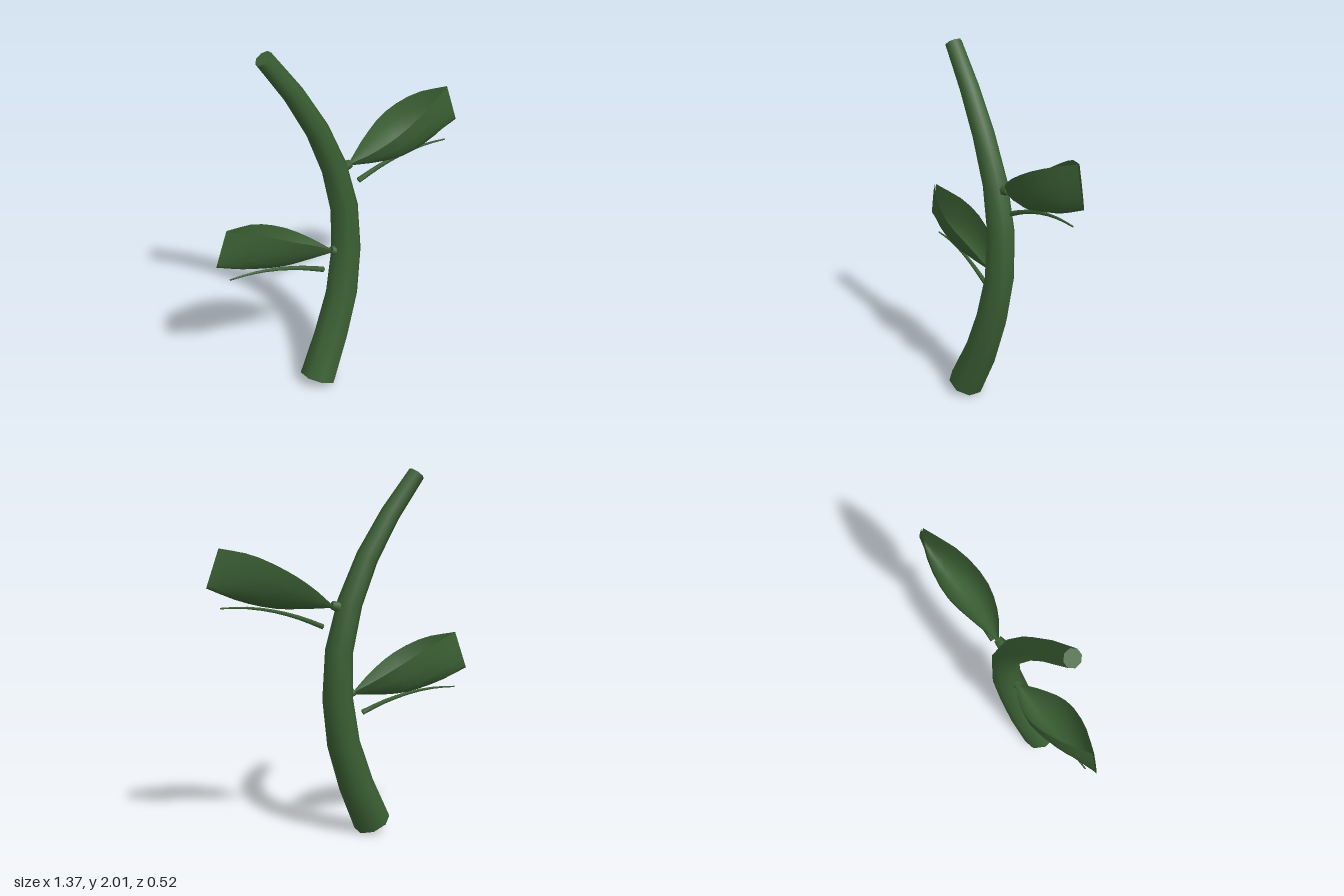
import * as THREE from 'three';

const green = new THREE.MeshStandardMaterial({ color: 0x3a5f33 });
green.name = 'leaf green';
const greenSheet = green.clone();
greenSheet.side = THREE.DoubleSide;

const V = (p) => new THREE.Vector3(...p);

function mesh(geometry, name, material = green) {
  const m = new THREE.Mesh(geometry, material);
  m.name = name;
  return m;
}

// Smooth grid surface from rows of points; wrap joins each row into a ring
function loft(rows, wrap) {
  const n = rows[0].length;
  const index = [];
  for (let i = 0; i < rows.length - 1; i++) {
    for (let j = 0; j < (wrap ? n : n - 1); j++) {
      const a = i * n + j, b = i * n + (j + 1) % n;
      index.push(a, b, a + n, b, b + n, a + n);
    }
  }
  const g = new THREE.BufferGeometry().setFromPoints(rows.flat());
  g.setIndex(index);
  g.computeVertexNormals();
  return g;
}

// Tapered tube along a curve, with rings square to the path
function taperedTube(points, r0, r1, steps, sides, name) {
  const group = new THREE.Group();
  group.name = name;
  const curve = new THREE.CatmullRomCurve3(points.map(V));
  const frames = curve.computeFrenetFrames(steps, false);
  const rows = [];
  for (let i = 0; i <= steps; i++) {
    const t = i / steps, r = THREE.MathUtils.lerp(r0, r1, t), c = curve.getPointAt(t), row = [];
    for (let j = 0; j < sides; j++) {
      const a = j / sides * Math.PI * 2;
      row.push(c.clone()
        .addScaledVector(frames.normals[i], r * Math.cos(a))
        .addScaledVector(frames.binormals[i], r * Math.sin(a)));
    }
    rows.push(row);
  }
  group.add(mesh(loft(rows, true), name + 'Side'));
  // End caps
  for (const [ring, centre] of [[[...rows[0]].reverse(), curve.getPointAt(0)], [rows[steps], curve.getPointAt(1)]]) {
    group.add(mesh(loft([ring, ring.map(() => centre.clone())], true), name + 'End'));
  }
  return group;
}

// Boat-shaped leaf: two rims that meet at both ends, joined by a rounded keel
function leafBlade() {
  const near = new THREE.CatmullRomCurve3([
    [0.05, 1.285, -0.035], [0.16, 1.35, 0], [0.3, 1.435, -0.005],
    [0.46, 1.525, -0.085], [0.62, 1.593, -0.235]].map(V));
  const far = new THREE.CatmullRomCurve3([
    [0.05, 1.285, -0.045], [0.15, 1.385, -0.135], [0.28, 1.48, -0.225],
    [0.45, 1.56, -0.257], [0.62, 1.593, -0.245]].map(V));
  const keel = new THREE.CatmullRomCurve3([
    [0.05, 1.275, -0.04], [0.2, 1.272, -0.08], [0.35, 1.278, -0.125],
    [0.52, 1.32, -0.19], [0.685, 1.392, -0.253]].map(V));
  const rows = [], steps = 10, around = 8;
  for (let i = 0; i <= steps; i++) {
    const t = i / steps;
    const n = near.getPoint(t), f = far.getPoint(t);
    const mid = n.clone().add(f).multiplyScalar(0.5);
    const side = f.sub(n).multiplyScalar(0.5);
    const depth = keel.getPoint(t).sub(mid);
    const row = [];
    for (let j = 0; j <= around; j++) {
      const a = (j / around - 0.5) * Math.PI;
      row.push(mid.clone().addScaledVector(side, Math.sin(a)).addScaledVector(depth, Math.cos(a)));
    }
    rows.push(row);
  }
  return mesh(loft(rows, false), 'leafBlade', greenSheet);
}

// One leaf with its stalk knob and the loose rib below
function leaf(name) {
  const group = new THREE.Group();
  group.name = name;
  const knob = mesh(new THREE.CylinderGeometry(0.022, 0.032, 0.05, 6), 'leafStalk');
  knob.position.set(0.037, 1.282, -0.03);
  knob.quaternion.setFromUnitVectors(new THREE.Vector3(0, 1, 0), V([0.85, 0.25, -0.35]).normalize());
  const rib = taperedTube([
    [0.105, 1.175, -0.05], [0.22, 1.225, -0.09], [0.36, 1.267, -0.137],
    [0.5, 1.288, -0.184], [0.62, 1.288, -0.224]], 0.015, 0.004, 8, 6, 'leafRib');
  group.add(leafBlade(), knob, rib);
  return group;
}

export function createModel() {
  const model = new THREE.Group();
  model.name = 'leafyStem';

  // Curved stem
  model.add(taperedTube([
    [-0.16, 0.04, 0.155], [-0.07, 0.28, 0.085], [0, 0.53, 0.035], [0.03, 0.79, -0.003],
    [0.025, 1.01, -0.012], [-0.025, 1.26, 0.003], [-0.115, 1.51, 0.043],
    [-0.24, 1.75, 0.095], [-0.39, 1.977, 0.155]], 0.105, 0.046, 8, 8, 'stem'));

  // Two leaves on opposite sides, the second lower and turned half round
  const upper = leaf('upperLeaf');
  const lower = leaf('lowerLeaf');
  lower.rotation.y = Math.PI;
  lower.position.y = -0.48;
  model.add(upper, lower);
  return model;
}
